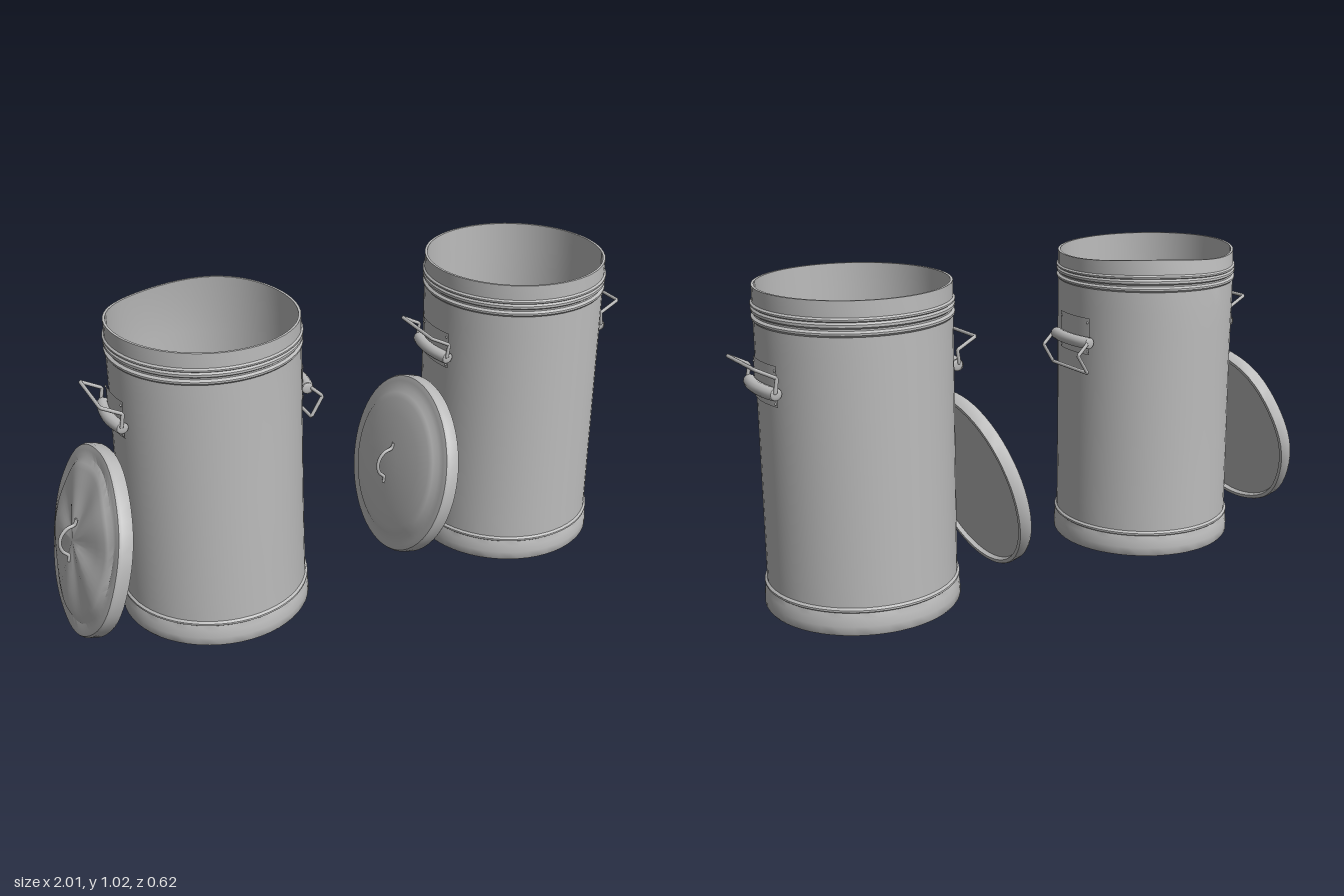
import * as THREE from 'three';
import { toCreasedNormals } from 'three/addons/utils/BufferGeometryUtils.js';

const steel = new THREE.MeshStandardMaterial({ color: 0xbcbcbc });
steel.name = 'galvanised grey';
steel.side = THREE.DoubleSide;

function mesh(name, geometry) {
  const m = new THREE.Mesh(geometry, steel);
  m.name = name;
  return m;
}

// Turns a profile about y, then moves its vertices by an optional dent rule.
function turned(name, profile, dent) {
  let geo = new THREE.LatheGeometry(profile.map(([r, y]) => new THREE.Vector2(r, y)), 56);
  if (dent) {
    const p = geo.attributes.position;
    const v = new THREE.Vector3();
    for (let i = 0; i < p.count; i++) {
      v.fromBufferAttribute(p, i);
      dent(v, Math.atan2(v.z, v.x), Math.hypot(v.x, v.z));
      p.setXYZ(i, v.x, v.y, v.z);
    }
  }
  geo = toCreasedNormals(geo, 0.6);
  return mesh(name, geo);
}

// Wire bent along straight pieces
function wire(name, points, radius) {
  const path = new THREE.CurvePath();
  for (let i = 1; i < points.length; i++) {
    path.add(new THREE.LineCurve3(new THREE.Vector3(...points[i - 1]), new THREE.Vector3(...points[i])));
  }
  return mesh(name, new THREE.TubeGeometry(path, 90, radius, 8, false));
}

// Side handle on the +x side: curved plate, rolled sleeve and swinging bail
function sideHandle(raised) {
  const g = new THREE.Group();
  g.name = 'sideHandle';
  const spread = 0.54;
  const plate = mesh('handlePlate', new THREE.CylinderGeometry(
    0.307, 0.307, 0.125, 12, 1, true, Math.PI / 2 - spread / 2, spread));
  plate.position.y = 0.753;
  g.add(plate);

  const arc = [];
  for (let i = 0; i <= 8; i++) {
    const a = (i / 8 - 0.5) * 0.6;
    arc.push(new THREE.Vector3(0.32 * Math.cos(a), 0.735, 0.32 * Math.sin(a)));
  }
  g.add(mesh('handleSleeve', new THREE.TubeGeometry(new THREE.CatmullRomCurve3(arc), 16, 0.02, 12)));
  for (const s of [0, 8]) {
    const end = mesh('sleeveEnd', new THREE.SphereGeometry(0.019, 12, 8));
    end.scale.z = 0.25;
    end.position.copy(arc[s]);
    g.add(end);
  }

  const side = raised
    ? [[0.31, 0.74], [0.303, 0.785], [0.37, 0.82]]
    : [[0.318, 0.735], [0.355, 0.70], [0.315, 0.635]];
  const half = side.map(([x, y]) => [x, y, 0.1]);
  half.unshift([side[0][0], side[0][1], 0.08]);
  const other = half.map(([x, y, z]) => [x, y, -z]).reverse();
  g.add(wire('bail', [...half, ...other], 0.006));

  // Rivets at the plate corners
  for (const y of [0.8, 0.7]) {
    for (const s of [-1, 1]) {
      const rivet = mesh('rivet', new THREE.SphereGeometry(0.004, 8, 6));
      rivet.position.set(0.307 * Math.cos(0.24), y, s * 0.307 * Math.sin(0.24));
      g.add(rivet);
    }
  }
  return g;
}

// Can body with base band, rim beads and a hollow inside
function canBody(dented) {
  const profile = [[0, 0], [0.306, 0], [0.31, 0.006], [0.31, 0.03], [0.308, 0.055], [0.303, 0.072],
    [0.308, 0.076], [0.308, 0.082], [0.301, 0.088]];
  for (let i = 1; i <= 12; i++) profile.push([0.301, 0.088 + i * 0.069]);
  profile.push([0.306, 0.922], [0.306, 0.928], [0.298, 0.934], [0.298, 0.939], [0.306, 0.945],
    [0.306, 0.953], [0.301, 0.959], [0.307, 0.963], [0.307, 0.968], [0.301, 0.973],
    [0.301, 1.022], [0.293, 1.022], [0.293, 0.93]);
  for (let i = 1; i <= 9; i++) profile.push([0.293, 0.93 - i * 0.1]);
  profile.push([0.293, 0.02], [0, 0.02]);
  return turned('canBody', profile, dented && ((v, a) => {
    const h = Math.max(0, (v.y - 0.1) / 0.92);
    // shallow dents on the wall, a bent rim at the back
    const k = 1 - 0.008 * Math.sin(Math.min(1, h) * Math.PI) * (1 + Math.sin(3 * a + 4 * h)) / 2;
    v.x *= k;
    v.z *= k;
    const top = Math.max(0, (v.y - 0.9) / 0.12);
    if (v.z < 0) v.z += 0.014 * top * Math.pow(Math.sin(a), 2);
    v.y -= top * 0.007 * (1 + Math.sin(2 * a - 0.2 + Math.cos(a) * 1.2));
  }));
}

// Domed lid with a folded lip and a wire grip
function lid(dented) {
  const g = new THREE.Group();
  g.name = 'lid';
  const profile = [[0, 0.014], [0.288, 0.014], [0.292, 0], [0.304, 0], [0.307, 0.005], [0.307, 0.036],
    [0.302, 0.045], [0.285, 0.049], [0.262, 0.05], [0.245, 0.062], [0.225, 0.068],
    [0.17, 0.076], [0.11, 0.081], [0.05, 0.084], [0, 0.085]];
  g.add(turned('lidShell', profile, dented && ((v, a, r) => {
    if (v.y > 0.03) v.y -= 0.006 * (1 + Math.sin(5 * a + 1)) * Math.sin(Math.min(1, r / 0.3) * Math.PI);
    const k = 1 + 0.006 * Math.sin(7 * a) * (r / 0.3);
    v.x *= k;
    v.z *= k;
  })));
  const bow = [[-0.075, 0.083], [-0.055, 0.086], [-0.04, 0.108], [-0.015, 0.122], [0.015, 0.122],
    [0.04, 0.108], [0.055, 0.086], [0.075, 0.083]].map(([x, y]) => new THREE.Vector3(x, y, 0));
  g.add(mesh('lidGrip', new THREE.TubeGeometry(new THREE.CatmullRomCurve3(bow), 40, 0.006, 8)));
  g.rotation.z = 1.316;
  return g;
}

function trashCan(name, x, dented) {
  const g = new THREE.Group();
  g.name = name;
  g.add(canBody(dented));
  g.add(sideHandle(!dented));
  const back = sideHandle(true);
  back.rotation.y = Math.PI;
  g.add(back);
  const cover = lid(dented);
  cover.position.set(-0.388, 0.312, 0);
  g.add(cover);
  g.position.x = x;
  return g;
}

export function createModel() {
  const model = new THREE.Group();
  model.name = 'trashCans';
  model.add(trashCan('dentedCan', -0.49, true));
  model.add(trashCan('cleanCan', 0.631, false));
  return model;
}
